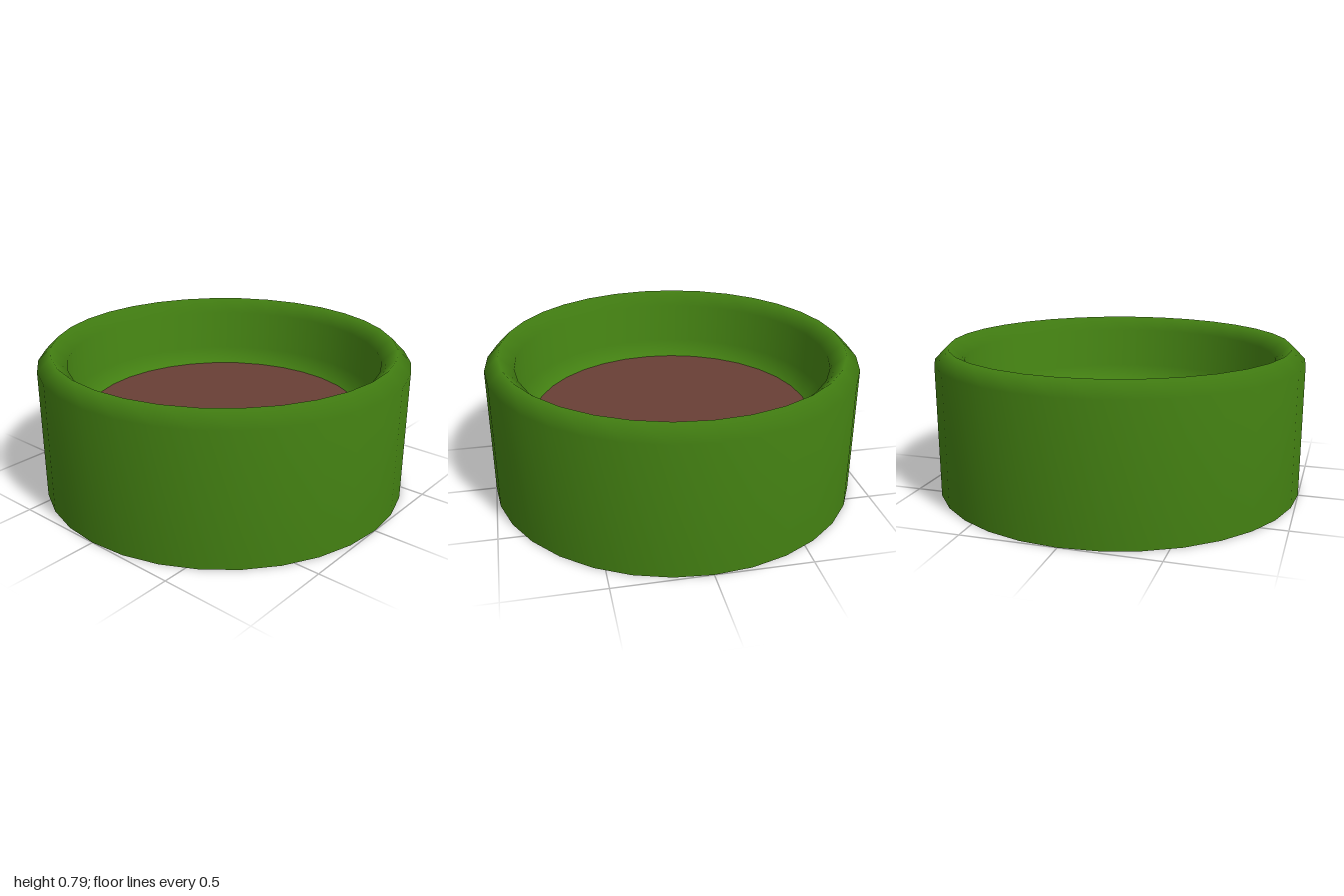
import * as THREE from 'three';

const SIDES = 32;

export function createModel() {
  const model = new THREE.Group();
  model.name = 'planter';

  // Pot: outer wall, bevelled rim, inner wall and the slope meeting the soil
  const profile = [
    [1, 0], [1, 0.71], [0.925, 0.785], [0.845, 0.71], [0.845, 0.48], [0.765, 0.4],
  ].map(([r, y]) => new THREE.Vector2(r, y));
  const pot = new THREE.Mesh(
    new THREE.LatheGeometry(profile, SIDES),
    new THREE.MeshStandardMaterial({ color: 0x438012, side: THREE.DoubleSide }),
  );
  pot.name = 'pot';
  model.add(pot);

  // Soil: flat disc closing the inside of the pot, visible from below too
  const soil = new THREE.Mesh(
    new THREE.CircleGeometry(0.765, SIDES).rotateX(-Math.PI / 2),
    new THREE.MeshStandardMaterial({ color: 0x693f35, side: THREE.DoubleSide }),
  );
  soil.name = 'soil';
  soil.position.y = 0.4;
  model.add(soil);

  return model;
}
